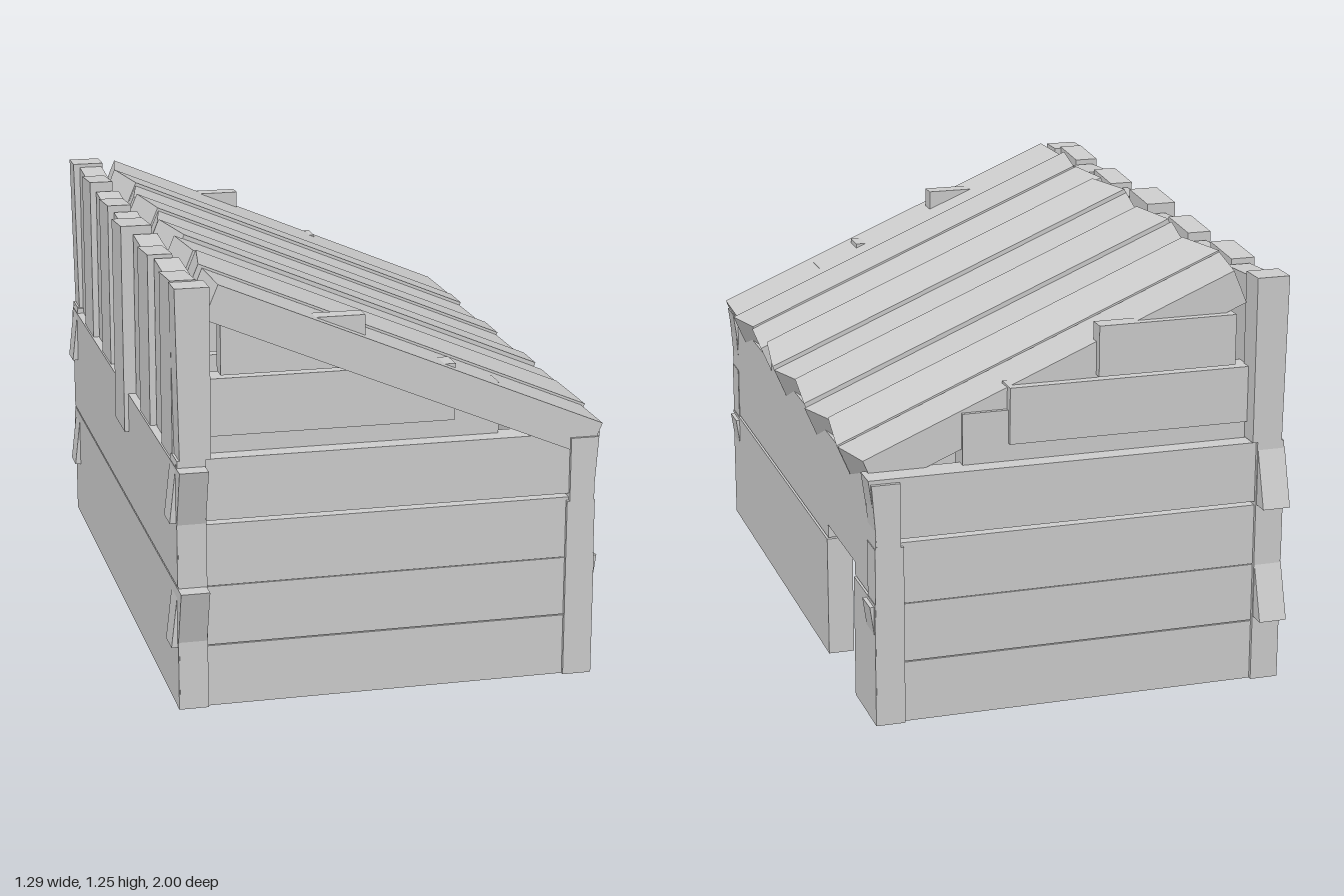
import * as THREE from 'three';

const wood = new THREE.MeshStandardMaterial({ color: 0xcccccc });
wood.name = 'plain wood';

// Box between two corners; edit(p, s) may shift each corner, s holds its side signs
function board(parent, name, [x0, x1], [y0, y1], [z0, z1], edit) {
  const geo = new THREE.BoxGeometry(x1 - x0, y1 - y0, z1 - z0);
  const pos = geo.attributes.position;
  const p = new THREE.Vector3();
  for (let i = 0; i < pos.count; i++) {
    p.fromBufferAttribute(pos, i);
    const s = { x: Math.sign(p.x), y: Math.sign(p.y), z: Math.sign(p.z) };
    p.add(new THREE.Vector3((x0 + x1) / 2, (y0 + y1) / 2, (z0 + z1) / 2));
    if (edit) edit(p, s);
    pos.setXYZ(i, p.x, p.y, p.z);
  }
  geo.computeVertexNormals();
  const mesh = new THREE.Mesh(geo, wood);
  mesh.name = name;
  parent.add(mesh);
  return mesh;
}

function group(parent, name) {
  const g = new THREE.Group();
  g.name = name;
  parent.add(g);
  return g;
}

export function createModel() {
  const model = new THREE.Group();
  model.name = 'woodenShelter';

  // Front and back walls: four boards with crooked ends, then three gable boards
  for (const side of [1, -1]) {
    const label = side > 0 ? 'front' : 'back';
    const wall = group(model, label + 'Wall');
    const span = (a, b) => (side > 0 ? [a, b] : [-b, -a]);
    const rows = [[0, 0.182], [0.185, 0.36], [0.362, 0.545], [0.556, 0.737]];
    rows.forEach((y, i) => {
      const crooked = i % 2 === 1;
      board(wall, label + 'Board', [-0.61, 0.6], y, span(0.85, 0.934), (p, s) => {
        if (!crooked) return;
        if (s.x < 0) p.x -= s.y < 0 ? 0.033 : 0.012;
        else p.x += s.y > 0 ? 0.02 : -0.005;
      });
    });
    const gable = [
      [0.33, [0.72, 0.888], [0.805, 0.88]],
      [0.195, [0.79, 0.957], [0.82, 0.896]],
      [-0.07, [0.965, 1.115], [0.84, 0.893]],
    ];
    gable.forEach(([x1, y, z], i) => {
      board(wall, label + 'GableBoard', [i === 2 ? -0.485 : -0.55, x1], y, span(...z));
    });

    // Corner posts, tall on the left edge of the front and short on the other
    const postZ = span(0.86, 0.946);
    board(wall, label + 'TallPost', [-0.622, -0.54], [0, 0.74], postZ);
    board(wall, label + 'TallPostTop', [-0.615, -0.525], [0.74, 1.232], postZ, (p, s) => {
      if (s.x < 0 && s.y > 0) p.x -= 0.008;
    });
    board(wall, label + 'ShortPostLower', [0.522, 0.606], [0, 0.535], postZ);
    board(wall, label + 'ShortPostUpper', [0.53, 0.6], [0.535, 0.725], postZ, (p, s) => {
      if (s.x > 0 && s.y > 0) p.x += 0.014;
    });
  }

  // High side wall: horizontal boards, every second one with leaning ends
  const highWall = group(model, 'highSideWall');
  [[0, 0.2], [0.2, 0.365], [0.37, 0.55], [0.55, 0.72]].forEach((y, i) => {
    board(highWall, 'highSideBoard', [-0.625, -0.542], y, [-0.945, 0.945], (p, s) => {
      if (i % 2 === 0) return;
      if (s.z > 0 && s.y > 0) p.z += 0.053;
      if (s.z < 0 && s.y < 0) p.z -= 0.053;
    });
  });

  // Upright planks above the high side wall, uneven at the top
  const uprights = 10;
  const tops = [1.215, 1.23, 1.2, 1.225, 1.205, 1.235, 1.21, 1.225, 1.215, 1.23];
  const width = 1.74 / uprights;
  for (let i = 0; i < uprights; i++) {
    const z = -0.87 + i * width;
    const shift = i % 2 ? -0.012 : 0.006;
    const long = i === 5;
    const x = long ? [-0.638, -0.545] : [-0.608 + shift, -0.535 + shift];
    board(highWall, 'uprightPlank', x, [long ? 0.6 : 0.65, tops[i]], [z + 0.004, z + width - 0.004], (p, s) => {
      if (s.y > 0) p.y += s.z * (i % 2 ? 0.006 : -0.006);
    });
  }

  // Low side wall with the doorway notch near the back
  const lowWall = group(model, 'lowSideWall');
  const lowX = [0.53, 0.608];
  for (const z of [[-0.945, -0.71], [-0.39, 0.945]]) {
    board(lowWall, 'lowSideLowerBoard', lowX, [0, 0.37], z);
    board(lowWall, 'lowSideDoorEdge', [0.53, 0.604], [0.375, 0.415], z);
  }
  board(lowWall, 'lowSideMiddleBoard', [0.53, 0.604], [0.415, 0.54], [-0.945, 0.945]);
  board(lowWall, 'lowSideUpperBoard', [0.53, 0.604], [0.54, 0.71], [-0.945, 0.945]);

  // Sloping roof: nine thick planks with skewed ends; x runs down the slope
  const roof = group(model, 'roof');
  const slope = Math.atan2(0.48, 1.14);
  roof.position.set(-0.5, 1.24, 0);
  roof.rotation.z = -slope;
  const edges = [-0.87, -0.67, -0.465, -0.265, -0.06, 0.137, 0.34, 0.535, 0.735, 0.94];
  const skews = [-0.02, 0.022, -0.025, 0.018, -0.024, 0.024, 0.012, -0.02, 0.003];
  const lifts = [0, 0.004, -0.006, 0.005, -0.004, 0.008, 0.003, 0.006, -0.004];
  skews.forEach((skew, i) => {
    const z = [edges[i] + 0.002, edges[i + 1] - 0.002];
    board(roof, 'roofPlank', [0, 1.225], [-0.105 + lifts[i], lifts[i]], z, (p, s) => {
      p.x += s.z * skew * (s.x > 0 ? -0.7 : 0.8);
      p.y += s.z * skew * 0.2;
    });
  });

  return model;
}
